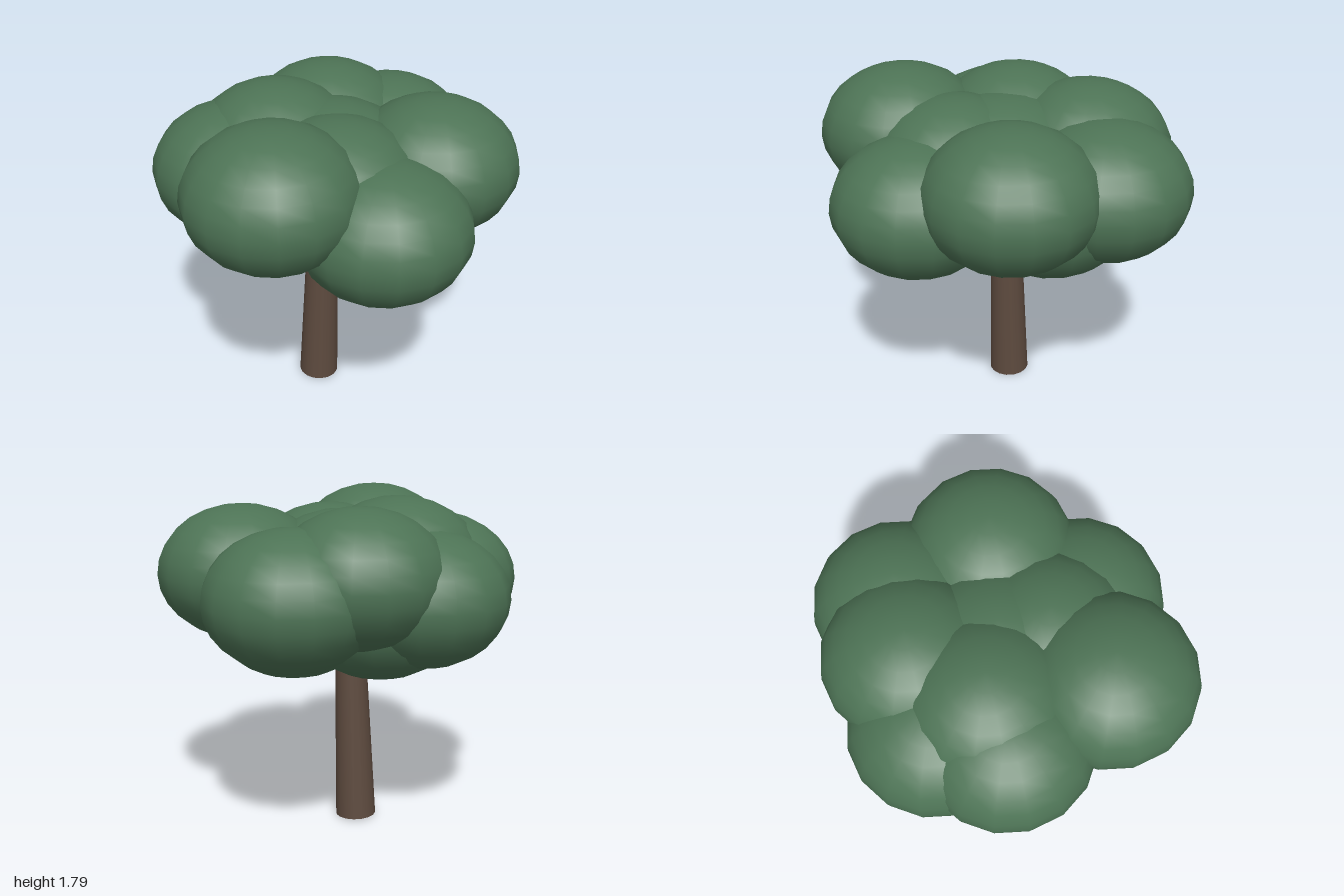
import * as THREE from 'three';

const bark = new THREE.MeshStandardMaterial({ color: 0x5e4b3f });
const leaf = new THREE.MeshStandardMaterial({ color: 0x4d7355 });

// Tapered round limb between two points
function limb(name, from, to, r0, r1) {
  const a = new THREE.Vector3(...from), b = new THREE.Vector3(...to);
  const dir = b.clone().sub(a);
  const mesh = new THREE.Mesh(new THREE.CylinderGeometry(r1, r0, dir.length(), 16), bark);
  mesh.position.copy(a).add(b).multiplyScalar(0.5);
  mesh.quaternion.setFromUnitVectors(new THREE.Vector3(0, 1, 0), dir.normalize());
  mesh.name = name;
  return mesh;
}

// Flattened ball of leaves; r is the horizontal radius, h the vertical one
function clump(name, [x, y, z], r = 0.44, h = 0.35) {
  const mesh = new THREE.Mesh(new THREE.SphereGeometry(1, 16, 14), leaf);
  mesh.scale.set(r, h, r);
  mesh.position.set(x, y, z);
  mesh.name = name;
  return mesh;
}

export function createModel() {
  const tree = new THREE.Group();
  tree.name = 'tree';

  // Leaning trunk
  const fork = [-0.04, 0.93, 0.015];
  tree.add(limb('trunk', [-0.076, 0.004, 0.015], [-0.04, 0.96, 0.015], 0.11, 0.083));

  // Short branches hidden inside the crown
  const branches = new THREE.Group();
  branches.name = 'branches';
  const tips = [[0.1, 1.35, 0.42], [0.4, 1.24, 0.17], [0.33, 1.33, -0.25], [-0.03, 1.3, -0.45], [-0.4, 1.28, -0.06], [-0.33, 1.3, 0.24]];
  tips.forEach((tip, i) => branches.add(limb(`branch${i + 1}`, fork, tip, 0.045, 0.025)));
  tree.add(branches);

  // Crown of overlapping leaf clumps
  const crown = new THREE.Group();
  crown.name = 'crown';
  const clumps = {
    frontClump: [0.1, 1.44, 0.56],
    leftClump: [0.485, 1.24, 0.2],
    backLeftClump: [0.43, 1.38, -0.3],
    backClump: [-0.03, 1.31, -0.56],
    backRightClump: [-0.28, 1.4, -0.33],
    topRightClump: [-0.275, 1.42, 0.1],
    rightClump: [-0.49, 1.28, -0.06],
    frontRightClump: [-0.39, 1.33, 0.28],
    topLeftClump: [0.18, 1.36, 0.18],
    lowRightClump: [-0.27, 1.205, -0.1],
    lowBackClump: [0.1, 1.22, -0.33],
  };
  for (const [name, at] of Object.entries(clumps)) crown.add(clump(name, at));
  crown.add(clump('coreClump', [0, 1.31, 0], 0.48, 0.39));
  tree.add(crown);

  return tree;
}
